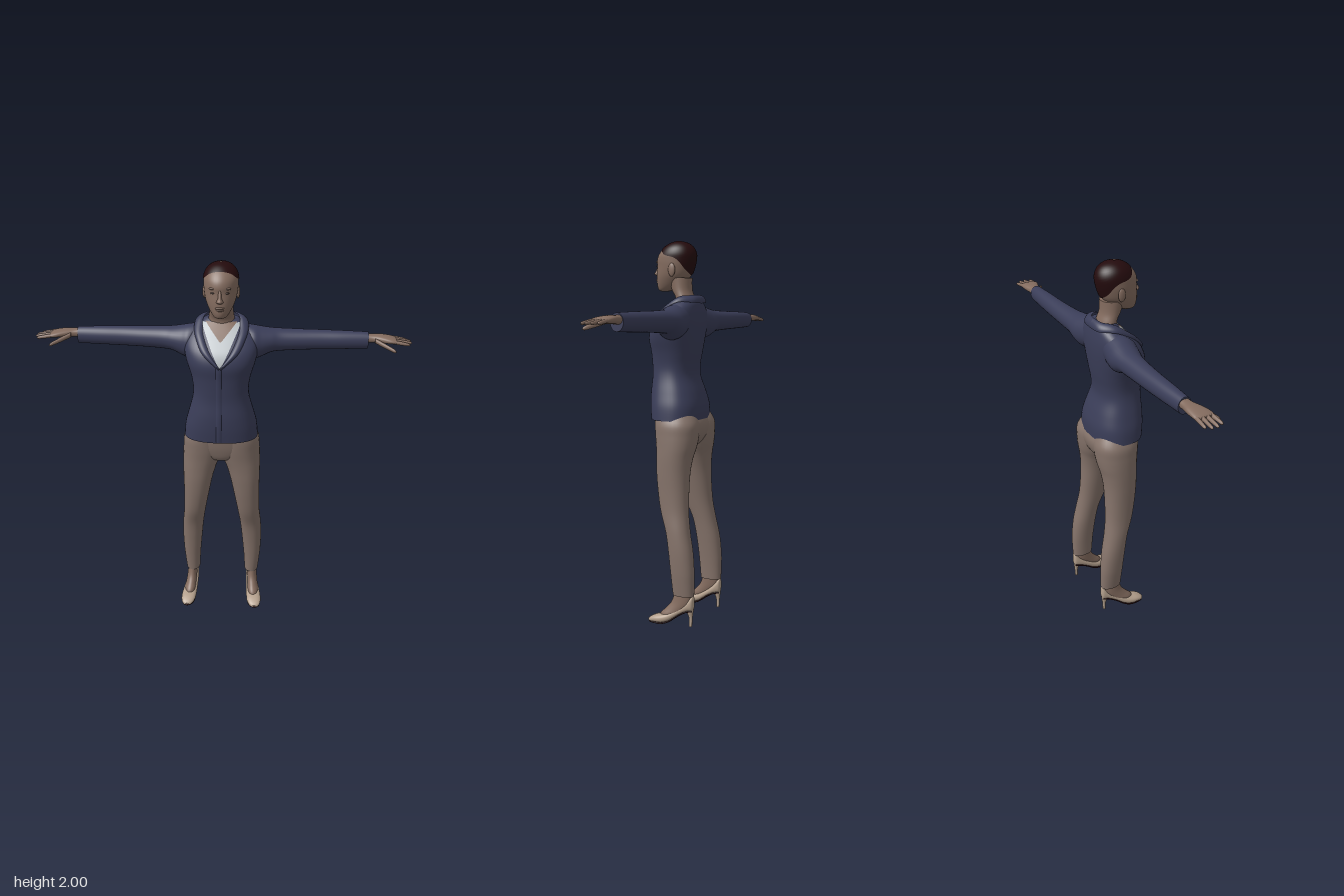
import * as THREE from 'three';

const mat = (name, color, side = THREE.FrontSide) => {
  const m = new THREE.MeshStandardMaterial({ color, side });
  m.name = name;
  return m;
};

// Smooth interpolation through a list of number rows, s = 0..1
function sample(rows, s) {
  const f = s * (rows.length - 1), i = Math.min(Math.floor(f), rows.length - 2), t = f - i;
  const p = k => rows[THREE.MathUtils.clamp(i + k, 0, rows.length - 1)];
  return p(0).map((b, c) => {
    const a = p(-1)[c], d = p(1)[c], e = p(2)[c];
    return b + 0.5 * t * (d - a + t * (2 * a - 5 * b + 4 * d - e + t * (3 * (b - d) + e - a)));
  });
}

// Row of a vertical body at height y
function rowAt(rows, y) {
  let lo = 0, hi = 1;
  for (let i = 0; i < 30; i++) {
    const m = (lo + hi) / 2;
    if (sample(rows, m)[0] < y) lo = m; else hi = m;
  }
  return sample(rows, lo);
}

// Point on a superellipse section; row = [along, min, max, min, max]
const power = (v, n) => Math.sign(v) * Math.abs(v) ** (2 / n);
function ringPoint([t, a0, a1, b0, b1], axis, angle, n) {
  const c = power(Math.cos(angle), n), s = power(Math.sin(angle), n);
  const at = (lo, hi, k) => (lo + hi) / 2 + (hi - lo) / 2 * k;
  if (axis === 'y') return [at(a0, a1, s), t, at(b0, b1, c)];
  if (axis === 'x') return [t, at(a0, a1, c), at(b0, b1, s)];
  return [at(a0, a1, c), at(b0, b1, s), t];
}

// Surface from fn(u, v); wrap closes it in u, caps closes both ends
function grid(fn, nu, nv, wrap = false, caps = false) {
  const pos = [], idx = [], w = wrap ? nu : nu + 1;
  for (let j = 0; j <= nv; j++) for (let i = 0; i < w; i++) pos.push(...fn(i / nu, j / nv));
  for (let j = 0; j < nv; j++) for (let i = 0; i < nu; i++) {
    const k = (i + 1) % w, a = j * w + i, b = j * w + k;
    idx.push(a, b, b + w, a, b + w, a + w);
  }
  if (caps) for (const v of [0, 1]) {
    const base = pos.length / 3, mid = [0, 0, 0];
    for (let i = 0; i < nu; i++) {
      const p = fn(i / nu, v);
      pos.push(...p);
      p.forEach((q, c) => { mid[c] += q / nu; });
    }
    pos.push(...mid);
    for (let i = 0; i < nu; i++) {
      const a = base + i, b = base + (i + 1) % nu;
      idx.push(base + nu, v ? a : b, v ? b : a);
    }
  }
  const g = new THREE.BufferGeometry();
  g.setAttribute('position', new THREE.Float32BufferAttribute(pos, 3));
  g.setIndex(idx);
  g.computeVertexNormals();
  return g;
}

const loft = (rows, axis, n = 2, segs = 32, sub = 5) =>
  grid((u, v) => ringPoint(sample(rows, v), axis, u * Math.PI * 2, n), segs, (rows.length - 1) * sub, true, true);

function mirrored(geo) {
  const g = geo.clone().scale(-1, 1, 1), ix = g.index.array;
  for (let i = 0; i < ix.length; i += 3) [ix[i], ix[i + 1]] = [ix[i + 1], ix[i]];
  return g;
}

const symmetric = rows => rows.map(([y, h, z0, z1]) => [y, -h, h, z0, z1]);

const TORSO = symmetric([
  [1.08, .193, -.13, .135], [1.15, .186, -.13, .143], [1.22, .168, -.113, .145], [1.3, .147, -.086, .14],
  [1.36, .142, -.085, .142], [1.43, .153, -.096, .147], [1.5, .174, -.105, .154], [1.56, .186, -.11, .135],
  [1.61, .184, -.11, .095], [1.65, .16, -.106, .055], [1.68, .12, -.1, .025], [1.705, .08, -.085, 0]]);
const HEAD = symmetric([
  [1.742, .012, .085, .112], [1.75, .032, .05, .13], [1.77, .049, 0, .138], [1.8, .065, -.03, .139],
  [1.83, .076, -.055, .138], [1.87, .083, -.07, .134], [1.9, .085, -.077, .135], [1.93, .084, -.078, .125],
  [1.96, .072, -.066, .1], [1.982, .049, -.042, .07], [1.993, .022, -.01, .042], [1.996, .003, .015, .025]]);
const CUT = 2.4; // squareness of the torso section

function chestZ(x, y) {
  const [, , h, z0, z1] = rowAt(TORSO, y);
  const k = Math.min(Math.abs(x) / h, .98);
  return (z0 + z1) / 2 + (z1 - z0) / 2 * (1 - k ** CUT) ** (1 / CUT);
}

// Panel lying on the chest between two heights, from left(y) to right(y)
const chestPanel = (y0, y1, left, right, lift) => grid((u, v) => {
  const y = y0 + (y1 - y0) * v, x = left(y) + (right(y) - left(y)) * u;
  return [x, y, chestZ(x, y) + lift(u)];
}, 16, 24);

export function createModel() {
  const model = new THREE.Group();
  const skin = mat('skin', 0x846c5f), jacket = mat('jacket navy', 0x3a3d58, THREE.DoubleSide);
  const trousers = mat('trouser taupe', 0x85736a), shirt = mat('shirt grey', 0xbcc2c6, THREE.DoubleSide);
  const hair = mat('hair', 0x240b0d, THREE.DoubleSide), shoe = mat('shoe beige', 0xb39f8c);
  const sole = mat('sole', 0x260a0e), eye = mat('eye', 0x54443d);

  const add = (name, geo, material) => {
    const m = new THREE.Mesh(geo, material);
    m.name = name;
    model.add(m);
  };
  const pair = (name, geo, material) => {
    add(name + 'Left', geo, material);
    add(name + 'Right', mirrored(geo), material);
  };
  const blob = (x, y, z, sx, sy, sz) => new THREE.SphereGeometry(1, 16, 12).scale(sx, sy, sz).translate(x, y, z);

  // Head, neck and hair
  add('head', loft(HEAD, 'y', 2, 40), skin);
  add('neck', loft(symmetric([[1.62, .08, -.085, .03], [1.7, .066, -.07, .022], [1.75, .06, -.056, .048],
    [1.81, .06, -.055, .07]]), 'y'), skin);
  const hairline = [[1.966], [1.957], [1.925], [1.906], [1.85], [1.825]];
  add('hair', grid((u, v) => {
    const angle = u * Math.PI * 2, low = sample(hairline, 1 - Math.abs(1 - 2 * u))[0];
    const y = low + (1.9958 - low) * Math.sin(v * Math.PI / 2);
    const [px, py, pz] = ringPoint(rowAt(HEAD, y), 'y', angle, 2);
    return [px * 1.03, 1.88 + (py - 1.88) * 1.03, .03 + (pz - .03) * 1.03];
  }, 48, 16, true), hair);

  // Face
  add('nose', loft(symmetric([[1.822, .006, .12, .14], [1.828, .017, .11, .152], [1.836, .016, .11, .16],
    [1.85, .01, .11, .152], [1.88, .008, .11, .138], [1.9, .006, .11, .13]]), 'y', 2, 16), skin);
  add('upperLip', blob(0, 1.801, .135, .024, .006, .011), skin);
  add('lowerLip', blob(0, 1.791, .134, .02, .006, .011), skin);
  pair('eye', blob(.033, 1.872, .122, .013, .005, .007), eye);
  pair('brow', blob(.034, 1.893, .119, .02, .006, .01), skin);
  pair('ear', blob(.083, 1.85, .015, .009, .034, .02).rotateZ(0), skin);

  // Jacket
  add('jacketBody', loft(TORSO, 'y', CUT, 48), jacket);
  pair('sleeve', loft([
    [.1, 1.51, 1.675, -.1, .03], [.16, 1.495, 1.668, -.11, .055], [.2, 1.505, 1.659, -.113, .045],
    [.25, 1.527, 1.65, -.11, .028], [.3, 1.532, 1.646, -.107, .012], [.4, 1.537, 1.642, -.105, 0],
    [.5, 1.54, 1.64, -.102, -.008], [.6, 1.543, 1.638, -.098, -.012], [.7, 1.546, 1.635, -.092, -.018],
    [.737, 1.548, 1.633, -.09, -.02]], 'x'), jacket);
  add('frontEdge', chestPanel(1.085, 1.5, () => -.02, () => .01, u => .005 * Math.sin(u * Math.PI) ** .5 - .001), jacket);

  // Shirt and the skin above it
  add('shirt', chestPanel(1.5, 1.69, y => -.004 - (y - 1.5) * .5, y => .004 + (y - 1.5) * .5, () => .003), shirt);
  add('chest', chestPanel(1.615, 1.695, y => -(y - 1.612) * .95, y => (y - 1.612) * .95, () => .006), skin);

  // Lapel and collar: a ribbon between an inner and an outer edge
  const edge = pts => pts.map(([x, y, z]) => [x, y, z ?? chestZ(x, y) + .003]);
  const inner = edge([[0, 1.5], [.045, 1.56], [.078, 1.62], [.093, 1.665], [.088, 1.71, -.03], [.053, 1.72, -.078], [0, 1.724, -.09]]);
  const outer = edge([[.006, 1.492], [.085, 1.56], [.122, 1.62], [.136, 1.66], [.128, 1.686, -.05], [.075, 1.683, -.106], [0, 1.68, -.114]]);
  pair('lapel', grid((u, v) => {
    const a = new THREE.Vector3(...sample(inner, v)), b = new THREE.Vector3(...sample(outer, v));
    const p = a.lerp(b, u), out = new THREE.Vector3(p.x * .4, .08, p.z + .03).normalize();
    return p.addScaledVector(out, .012 * Math.sin(u * Math.PI) ** .6).toArray();
  }, 8, 36), jacket);

  // Hands
  pair('palm', loft([
    [.72, 1.578, 1.625, -.085, -.03], [.76, 1.582, 1.622, -.085, -.026], [.8, 1.583, 1.622, -.092, -.012],
    [.84, 1.584, 1.617, -.093, .002], [.868, 1.585, 1.61, -.09, .004], [.878, 1.592, 1.603, -.08, -.005]], 'x', 2.4), skin);
  const finger = (x0, x1, y0, y1, z0, z1, r) => loft([[0, 1], [.35, 1.02], [.7, .9], [.92, .7], [1, .1]].map(([t, k]) => {
    const x = x0 + (x1 - x0) * t, y = y0 + (y1 - y0) * t, z = z0 + (z1 - z0) * t;
    return [x, y - r * k, y + r * k, z - r * k, z + r * k];
  }), 'x', 2, 12, 3);
  [[.935, -.08, -.084], [.953, -.057, -.06], [.955, -.033, -.032], [.942, -.009, -.002]].forEach(([tip, z0, z1], i) =>
    pair('finger' + (i + 1), finger(.85, tip, 1.6, 1.587, z0, z1, .0098), skin));
  pair('thumb', finger(.77, .872, 1.598, 1.562, -.025, .037, .0125), skin);

  // Trousers
  add('trouserSeat', loft(symmetric([[.925, .025, -.06, .03], [.95, .1, -.1, .068], [1, .185, -.13, .086],
    [1.06, .195, -.137, .096], [1.12, .175, -.11, .1]]), 'y', 2.2), trousers);
  pair('trouserLeg', loft([
    [.165, .13, .207, -.157, -.04], [.23, .127, .214, -.158, -.034], [.3, .122, .22, -.157, -.027],
    [.4, .113, .223, -.147, -.015], [.5, .103, .219, -.127, .003], [.6, .088, .209, -.112, .038],
    [.7, .07, .206, -.107, .058], [.8, .05, .207, -.107, .07], [.88, .028, .208, -.116, .075],
    [.94, .004, .207, -.13, .08], [1, -.012, .204, -.138, .088], [1.06, -.012, .198, -.138, .094],
    [1.12, -.01, .17, -.11, .095]], 'y', 2.2), trousers);

  // Feet and high-heeled shoes
  pair('foot', loft([[.03, .158, .215, -.05, .035], [.06, .153, .213, -.08, .025], [.09, .15, .207, -.115, -.005],
    [.13, .147, .202, -.14, -.035], [.2, .145, .197, -.14, -.055]], 'y'), skin);
  const shoeRows = [
    [-.158, .16, .178, .1, .155], [-.15, .147, .19, .084, .166], [-.12, .14, .198, .078, .13],
    [-.08, .14, .206, .056, .098], [-.03, .143, .22, .02, .07], [.01, .146, .228, .006, .056],
    [.05, .151, .229, .005, .046], [.08, .165, .222, .006, .032], [.093, .182, .206, .009, .02]];
  pair('shoe', loft(shoeRows, 'z', 2.3), shoe);
  pair('sole', loft(shoeRows.slice(1).map(([z, x0, x1, y]) => [z, x0 + .004, x1 - .004, y - .004, y + .008]), 'z', 3), sole);
  pair('heel', loft([[0, .163, .177, -.149, -.133], [.05, .161, .179, -.152, -.131],
    [.08, .154, .186, -.155, -.116], [.105, .148, .19, -.156, -.1]], 'y', 2, 16), shoe);

  return model;
}
